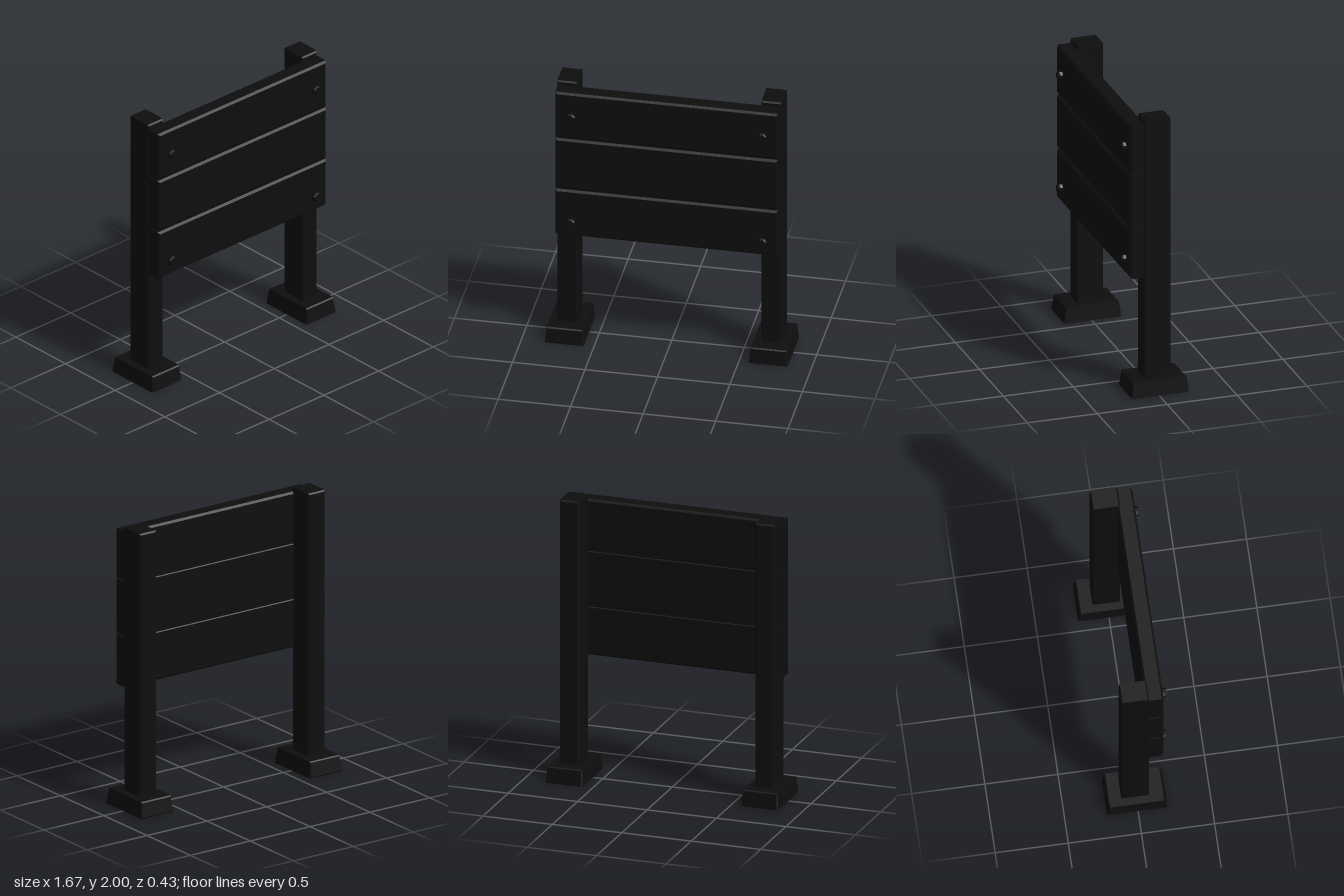
import * as THREE from 'three';

const material = new THREE.MeshStandardMaterial({ color: 0x0e0e0e, flatShading: true });

// Box with a single chamfer on every edge, given by its limits
function chamferBox(name, [x0, x1], [y0, y1], [z0, z1], c) {
  const hx = (x1 - x0) / 2 - c, hy = (y1 - y0) / 2 - c;
  const shape = new THREE.Shape([
    new THREE.Vector2(-hx, -hy), new THREE.Vector2(hx, -hy),
    new THREE.Vector2(hx, hy), new THREE.Vector2(-hx, hy),
  ]);
  const geo = new THREE.ExtrudeGeometry(shape, {
    depth: z1 - z0 - 2 * c, bevelThickness: c, bevelSize: c, bevelSegments: 1,
  });
  geo.translate((x0 + x1) / 2, (y0 + y1) / 2, z0 + c);
  const mesh = new THREE.Mesh(geo, material);
  mesh.name = name;
  return mesh;
}

// Footing block that narrows towards its top
function footing(x) {
  const mesh = chamferBox('footing', [-0.133, 0.133], [0, 0.115], [-0.208, 0.208], 0.008);
  const p = mesh.geometry.attributes.position;
  for (let i = 0; i < p.count; i++) {
    const t = p.getY(i) / 0.115;
    p.setX(i, p.getX(i) * (1 - 0.07 * t));
    p.setZ(i, p.getZ(i) * (1 - 0.08 * t));
  }
  mesh.geometry.computeVertexNormals();
  mesh.position.set(x, 0, -0.006);
  return mesh;
}

// Eight-sided bolt head with a chamfered face
function bolt(x, y) {
  const profile = [[0, 0], [0.034, 0], [0.034, 0.022], [0.027, 0.034], [0, 0.034]]
    .map(([r, h]) => new THREE.Vector2(r, h));
  const mesh = new THREE.Mesh(new THREE.LatheGeometry(profile, 8, Math.PI / 8), material);
  mesh.name = 'bolt';
  mesh.rotation.x = Math.PI / 2;
  mesh.position.set(x, y, 0.182);
  return mesh;
}

export function createModel() {
  const group = new THREE.Group();
  group.name = 'boardOnPosts';

  // Posts, footings and bolts on both sides
  for (const s of [-1, 1]) {
    const x = s * 0.704;
    group.add(chamferBox('post', [x - 0.07, x + 0.07], [0.02, 2], [-0.106, 0.085], 0.01));
    group.add(footing(x));
    for (const y of [0.96, 1.785]) group.add(bolt(s * 0.66, y));
  }

  // Three horizontal planks over a thin backing that closes the gaps
  for (const [i, y] of [[0.85, 1.205], [1.215, 1.603], [1.613, 1.966]].entries()) {
    const plank = chamferBox('plank', [-0.77, 0.768], y, [0.066, 0.185], 0.014);
    plank.name = ['lowerPlank', 'middlePlank', 'upperPlank'][i];
    group.add(plank);
  }
  group.add(chamferBox('backing', [-0.735, 0.735], [0.865, 1.955], [0.072, 0.166], 0.005));

  return group;
}
